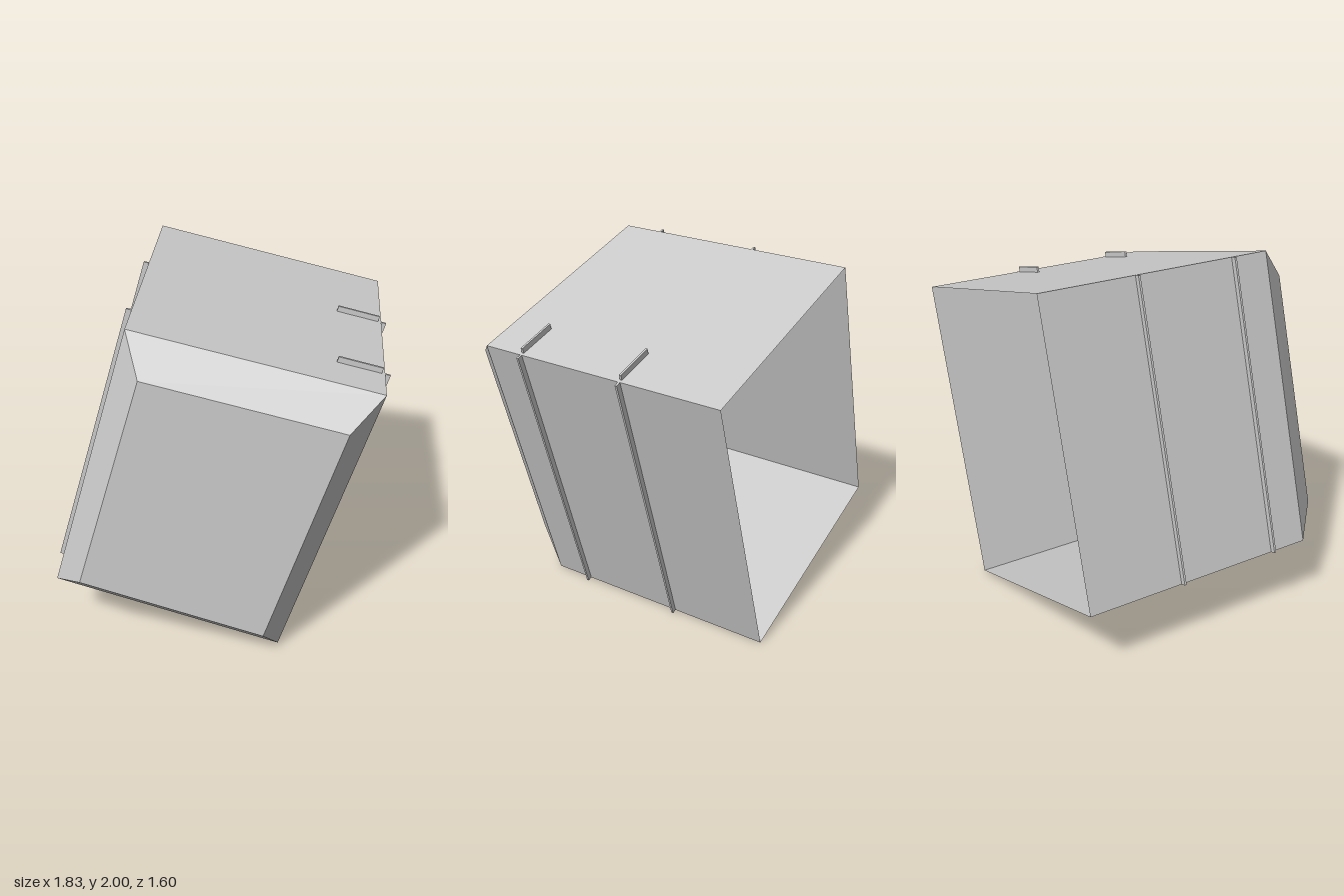
import * as THREE from 'three';

const gray = new THREE.MeshStandardMaterial({ color: 0xcccccc, side: THREE.DoubleSide, flatShading: true });
gray.name = 'light gray';

// Corners of the tilted case, anticlockwise seen from the front
const rim = [[-0.423, 1.995], [-0.886, 0.398], [0.386, 0.01], [0.886, 1.685]];
const face = [[-0.339, 1.804], [-0.712, 0.523], [0.307, 0.212], [0.709, 1.552]];

// Ring of flat panels joining two four-sided outlines
function ring(back, zBack, front, zFront) {
  const pos = [];
  for (let i = 0; i < 4; i++) {
    const j = (i + 1) % 4;
    const a = [...back[i], zBack], b = [...back[j], zBack];
    const c = [...front[j], zFront], d = [...front[i], zFront];
    pos.push(...a, ...b, ...c, ...a, ...c, ...d);
  }
  const g = new THREE.BufferGeometry();
  g.setAttribute('position', new THREE.Float32BufferAttribute(pos, 3));
  g.computeVertexNormals();
  return g;
}

function outline(points) {
  return new THREE.Shape(points.map(([x, y]) => new THREE.Vector2(x, y)));
}

export function createModel() {
  const model = new THREE.Group();
  const add = (name, geometry, z = 0) => {
    const mesh = new THREE.Mesh(geometry, gray);
    mesh.name = name;
    mesh.position.z = z;
    model.add(mesh);
  };

  // Thin shell, open at the back, with a bevelled front
  add('caseWalls', ring(rim, -0.8, rim, 0.62));
  add('frontBevel', ring(rim, 0.62, face, 0.8));
  add('frontPanel', new THREE.ShapeGeometry(outline(face)), 0.8);

  // Two sets of thin ribs: both sides and a short one on top
  const ribs = {
    leftRib: [rim[2], [0.413, 0.002], [0.915, 1.677], rim[3]],
    rightRib: [rim[0], [-0.452, 2.0], [-0.915, 0.406], rim[1]],
    topRib: [[0.635, 1.744], [0.868, 1.689], [0.876, 1.719], [0.643, 1.775]],
  };
  const depth = 0.012;
  for (const z of [0.391, -0.225]) {
    for (const [name, points] of Object.entries(ribs)) {
      add(name, new THREE.ExtrudeGeometry(outline(points), { depth, bevelEnabled: false }), z - depth / 2);
    }
  }
  return model;
}
